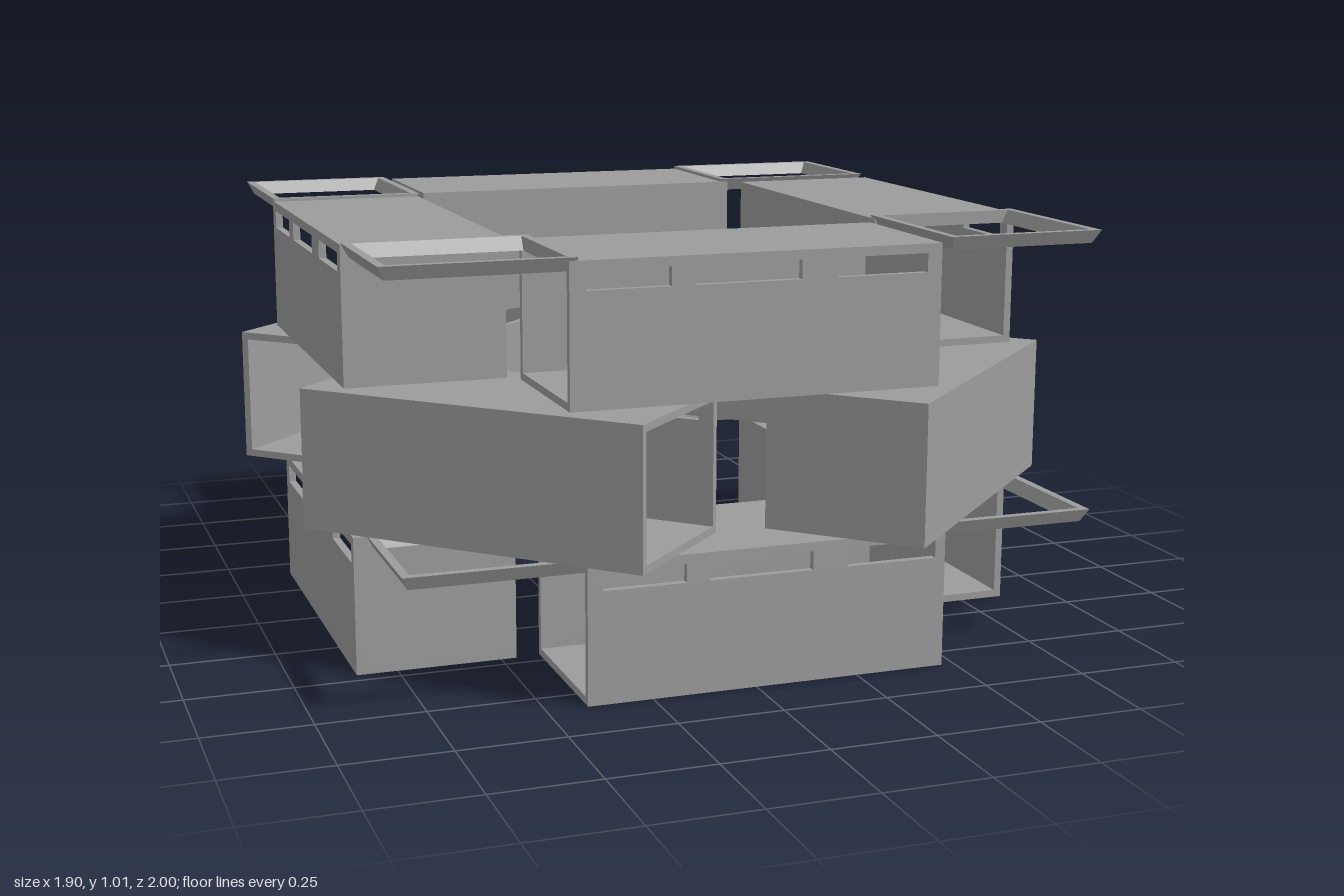
import * as THREE from 'three';

const W = 0.385, H = 0.33, T = 0.018;
const material = new THREE.MeshStandardMaterial({ color: 0x9c9c9c, flatShading: true, side: THREE.DoubleSide });

function rect(target, x0, y0, x1, y1) {
  target.moveTo(x0, y0);
  target.lineTo(x1, y0);
  target.lineTo(x1, y1);
  target.lineTo(x0, y1);
  target.closePath();
  return target;
}

function add(group, name, geometry, x = 0, y = 0, z = 0) {
  const mesh = new THREE.Mesh(geometry, material);
  mesh.name = name;
  mesh.position.set(x, y, z);
  group.add(mesh);
}

// Long wall pierced by three slots under the roof
function slottedWall(length) {
  const shape = rect(new THREE.Shape(), 0, T, length, H - T);
  for (const [a, b] of [[0.037, 0.233], [0.289, 0.54], [0.627, 0.848]]) {
    shape.holes.push(rect(new THREE.Path(), a, 0.264, b, 0.308));
  }
  return new THREE.ExtrudeGeometry(shape, { depth: T, bevelEnabled: false });
}

// Raised door frame: tip and side bars lean inward towards the bottom, hinge bar is upright
function frameGeometry() {
  const tip = -0.415, hinge = 0.02, z = W / 2 + 0.002, bar = 0.02, depth = 0.032, lean = 0.016;
  const shape = rect(new THREE.Shape(), tip, -z, hinge, z);
  shape.holes.push(rect(new THREE.Path(), tip + bar, -z + bar, hinge - bar, z - bar));
  const geometry = new THREE.ExtrudeGeometry(shape, { depth, bevelEnabled: false });
  geometry.rotateX(Math.PI / 2);
  const p = geometry.attributes.position;
  for (let i = 0; i < p.count; i++) {
    if (p.getY(i) < -depth / 2) {
      if (p.getX(i) < tip / 2) p.setX(i, p.getX(i) + lean);
      p.setZ(i, p.getZ(i) - Math.sign(p.getZ(i)) * lean);
    }
  }
  geometry.computeVertexNormals();
  return geometry;
}

// Hollow container: open end at local x = 0, slots on local +z
function container(name, length, hasFrame) {
  const g = new THREE.Group();
  g.name = name;
  const inner = H - 2 * T;
  add(g, 'floor', new THREE.BoxGeometry(length, T, W), length / 2, T / 2, 0);
  add(g, 'roof', new THREE.BoxGeometry(length, T, W), length / 2, H - T / 2, 0);
  add(g, 'plainWall', new THREE.BoxGeometry(length, inner, T), length / 2, H / 2, -W / 2 + T / 2);
  add(g, 'endWall', new THREE.BoxGeometry(T, inner, W - 2 * T), length - T / 2, H / 2, 0);
  add(g, 'slottedWall', slottedWall(length), 0, 0, W / 2 - T);
  if (hasFrame) add(g, 'raisedDoorFrame', frameGeometry(), 0, H + 0.008, 0);
  return g;
}

export function createModel() {
  const model = new THREE.Group();
  model.name = 'containerStack';

  // Each layer: open-end centre [x, z] and turn in degrees
  const layers = [
    { name: 'lower', y: 0, length: 0.873, frame: true,
      boxes: [[-0.404, 0.645, 0], [0.669, 0.398, 90], [0.405, -0.701, 180], [-0.655, -0.41, 270]] },
    { name: 'middle', y: 0.34, length: 0.868, frame: false,
      boxes: [[0.812, 0.248, 225], [-0.194, 0.858, 135], [-0.819, -0.254, 45], [0.199, -0.864, 315]] },
    { name: 'upper', y: 0.67, length: 0.883, frame: true,
      boxes: [[-0.439, 0.636, 0], [0.675, 0.388, 90], [0.45, -0.71, 180], [-0.657, -0.468, 270]] },
  ];

  for (const layer of layers) {
    const group = new THREE.Group();
    group.name = layer.name + 'Layer';
    group.position.y = layer.y;
    for (const [x, z, turn] of layer.boxes) {
      const box = container(layer.name + 'Container', layer.length, layer.frame);
      box.position.set(x, 0, z);
      box.rotation.y = THREE.MathUtils.degToRad(turn);
      group.add(box);
    }
    model.add(group);
  }
  return model;
}
